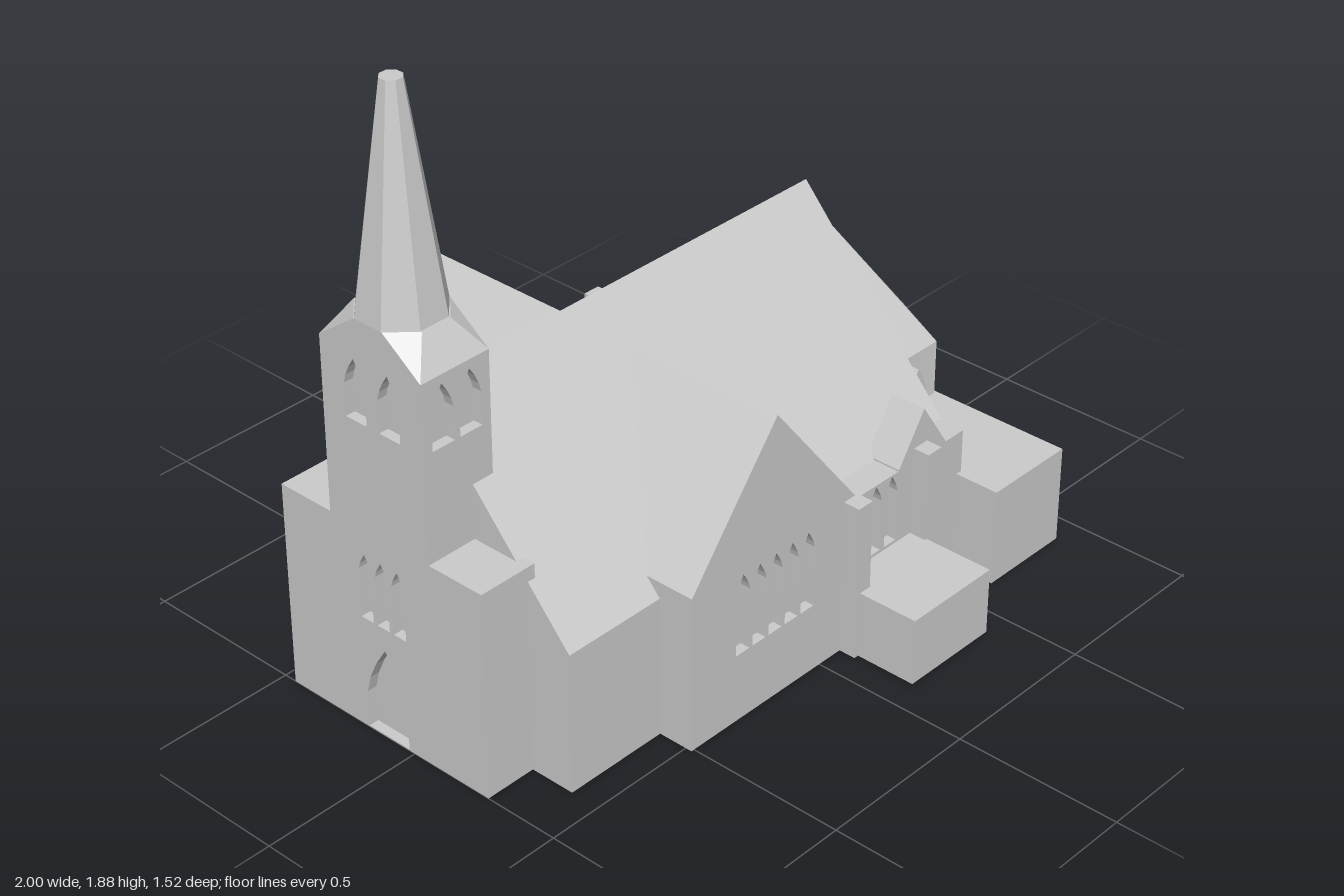
import * as THREE from 'three';
import { mergeGeometries, toCreasedNormals } from 'three/addons/utils/BufferGeometryUtils.js';
import { ConvexGeometry } from 'three/addons/geometries/ConvexGeometry.js';

const DEPTH = 0.03; // window recess

function polygon(points, Type = THREE.Shape) {
  return new Type(points.map(([x, y]) => new THREE.Vector2(x, y)));
}

// Pointed outline, centred on u
function lancet(u, y0, y1, w, Type = THREE.Path) {
  const s = y1 - w * 1.1, h = w / 2;
  const p = new Type();
  p.moveTo(u - h, y0);
  p.lineTo(u + h, y0);
  p.lineTo(u + h, s);
  p.quadraticCurveTo(u + h * 0.85, s + w * 0.5, u, y1);
  p.quadraticCurveTo(u - h * 0.85, s + w * 0.5, u - h, s);
  p.closePath();
  return p;
}

function extrude(shape, depth) {
  return new THREE.ExtrudeGeometry(shape, { depth, bevelEnabled: false, curveSegments: 3 });
}

// Wall slab from a to b (left to right seen from outside), pierced by windows [u, y0, y1, width]
function wall(a, b, height, windows, peak) {
  const dx = b[0] - a[0], dz = b[1] - a[1], len = Math.hypot(dx, dz);
  const pts = [[0, 0], [len, 0], [len, height]];
  if (peak) pts.push([len / 2, peak]);
  pts.push([0, height]);
  const shape = polygon(pts);
  shape.holes = windows.map((w) => lancet(...w));
  return extrude(shape, DEPTH).translate(0, 0, -DEPTH)
    .rotateY(Math.atan2(-dz, dx)).translate(a[0], 0, a[1]);
}

// House-shaped body along z
function gable(w, eave, peak, len, base = 0) {
  return extrude(polygon([[-w / 2, base], [w / 2, base], [w / 2, eave], [0, peak], [-w / 2, eave]]), len);
}

export function createModel() {
  const group = new THREE.Group();
  const stone = new THREE.MeshStandardMaterial({ color: 0xcccccc });
  stone.name = 'pale grey';

  const add = (name, geometry) => {
    const mesh = new THREE.Mesh(geometry, stone);
    mesh.name = name;
    group.add(mesh);
    return mesh;
  };
  const box = (name, x0, x1, y1, z0, z1) =>
    add(name, new THREE.BoxGeometry(x1 - x0, y1, z1 - z0).translate((x0 + x1) / 2, y1 / 2, (z0 + z1) / 2));

  // Nave
  add('nave', gable(1.02, 0.43, 1.0, 1.48).rotateY(Math.PI / 2).translate(-0.84, 0, -0.1));

  // Transept with a row of five lancets on each gable
  add('transept', gable(0.64, 0.48, 0.88, 1.23 - 2 * DEPTH).translate(-0.19, 0, -0.71 + DEPTH));
  const row = (mid) => [-2, -1, 0, 1, 2].map((i) => [mid + i * 0.064, 0.21, 0.455, 0.052]);
  add('frontTranseptWall', wall([-0.51, 0.52], [0.13, 0.52], 0.48, row(0.325), 0.88));
  add('backTranseptWall', wall([0.13, -0.71], [-0.51, -0.71], 0.48, row(0.315), 0.88));

  // Side aisles
  box('aisleCore', 0.1, 0.63, 0.435, -0.68 + DEPTH, 0.49 - DEPTH);
  add('frontAisleWall', wall([0.13, 0.49], [0.63, 0.49], 0.435, [
    [0.062, 0.215, 0.43, 0.05], [0.127, 0.215, 0.43, 0.05], [0.194, 0.215, 0.43, 0.05],
    [0.355, 0.25, 0.43, 0.045],
  ]));
  add('backAisleWall', wall([0.63, -0.68], [0.13, -0.68], 0.435,
    [0.09, 0.3, 0.43].map((u) => [u, 0.215, 0.43, 0.055])));
  add('aisleDormer', gable(0.2, 0.44, 0.59, 0.111, 0.42).translate(0.45, 0, 0.381));

  // Buttresses: x, inner z, outer z
  for (const [x, z0, z1] of [
    [0.113, 0.49, 0.572], [0.44, 0.48, 0.542],
    [-0.492, -0.765, -0.7], [0.113, -0.765, -0.67], [0.44, -0.74, -0.67],
  ]) box('buttress', x - 0.028, x + 0.028, 0.48, z0, z1);

  // Low annexes
  box('porch', 0.1, 0.42, 0.205, 0.45, 0.76);
  box('frontVestry', 0.61, 0.91, 0.302, 0.15, 0.63);
  box('backVestry', 0.63, 0.92, 0.302, -0.655, -0.33);

  // Apse: wall slabs round a solid core, with a pointed roof
  const plan = [[0.62, 0.18], [0.9, 0.18], [1, -0.02], [1, -0.16], [0.9, -0.36], [0.62, -0.36]];
  const slabs = [];
  for (let i = 0; i < 5; i++) {
    const a = plan[i], b = plan[i + 1];
    const len = Math.hypot(b[0] - a[0], b[1] - a[1]);
    const windows = i % 4 ? [[len / 2, 0.215, 0.458, 0.075]] : [];
    slabs.push(wall(a, b, 0.475, windows));
  }
  add('apseWalls', toCreasedNormals(mergeGeometries(slabs), 0.8));
  const core = polygon(plan.map(([x, z]) => [0.78 + (x - 0.78) * 0.86, 0.09 - (z + 0.09) * 0.86]));
  add('apseCore', extrude(core, 0.474).rotateX(-Math.PI / 2));
  add('apseRoof', toCreasedNormals(new ConvexGeometry([
    ...plan.map(([x, z]) => new THREE.Vector3(x, 0.475, z)),
    new THREE.Vector3(0.75, 0.81, -0.09),
  ]), 0.8));
  add('apseSideBays', extrude(lancet(0.765, 0.215, 0.46, 0.075, THREE.Shape), 0.64).translate(0, 0, -0.415));

  // Tower: solid core faced with pierced walls on three sides
  const x0 = -1, x1 = -0.77, z0 = -0.275, z1 = 0.085, top = 1.155;
  box('towerCore', x0 + DEPTH, x1, top, z0 + DEPTH, z1 - DEPTH);
  const bells = (mid, gap) => [-1, 1].map((s) => [mid + s * gap, 0.95, 1.13, 0.075]);
  add('towerFrontWall', wall([x0, z1], [x1, z1], top, bells(0.115, 0.047)));
  add('towerBackWall', wall([x1, z0], [x0, z0], top, bells(0.115, 0.047)));
  add('towerWestWall', wall([x0, z0 + DEPTH], [x0, z1 - DEPTH], top, [
    ...bells(0.15, 0.06),
    ...[-1, 0, 1].map((i) => [0.15 + i * 0.06, 0.35, 0.55, 0.045]),
    [0.15, 0.004, 0.28, 0.15],
  ]));
  box('frontTowerFlank', x0, -0.815, 0.63, z1 - 0.01, 0.27);
  box('backTowerFlank', x0, -0.815, 0.63, -0.46, z0 + 0.01);

  // Broach from square tower to octagon, then the spire
  const cx = -0.885, cz = -0.095, k = Math.cos(Math.PI / 8);
  const rim = [];
  for (let i = 0; i < 8; i++) {
    const t = (i + 0.5) * Math.PI / 4;
    rim.push(new THREE.Vector3(cx + Math.cos(t) * 0.115 / k, 1.25, cz + Math.sin(t) * 0.12 / k));
  }
  for (const x of [x0, x1]) for (const z of [z0, z1]) rim.push(new THREE.Vector3(x, top, z));
  add('spireBroach', new ConvexGeometry(rim));
  const spire = new THREE.CylinderGeometry(0.029 / k, 0.115 / k, 0.63, 8).toNonIndexed();
  spire.computeVertexNormals();
  add('spire', spire.rotateY(Math.PI / 8).translate(cx, 1.565, cz));

  return group;
}
